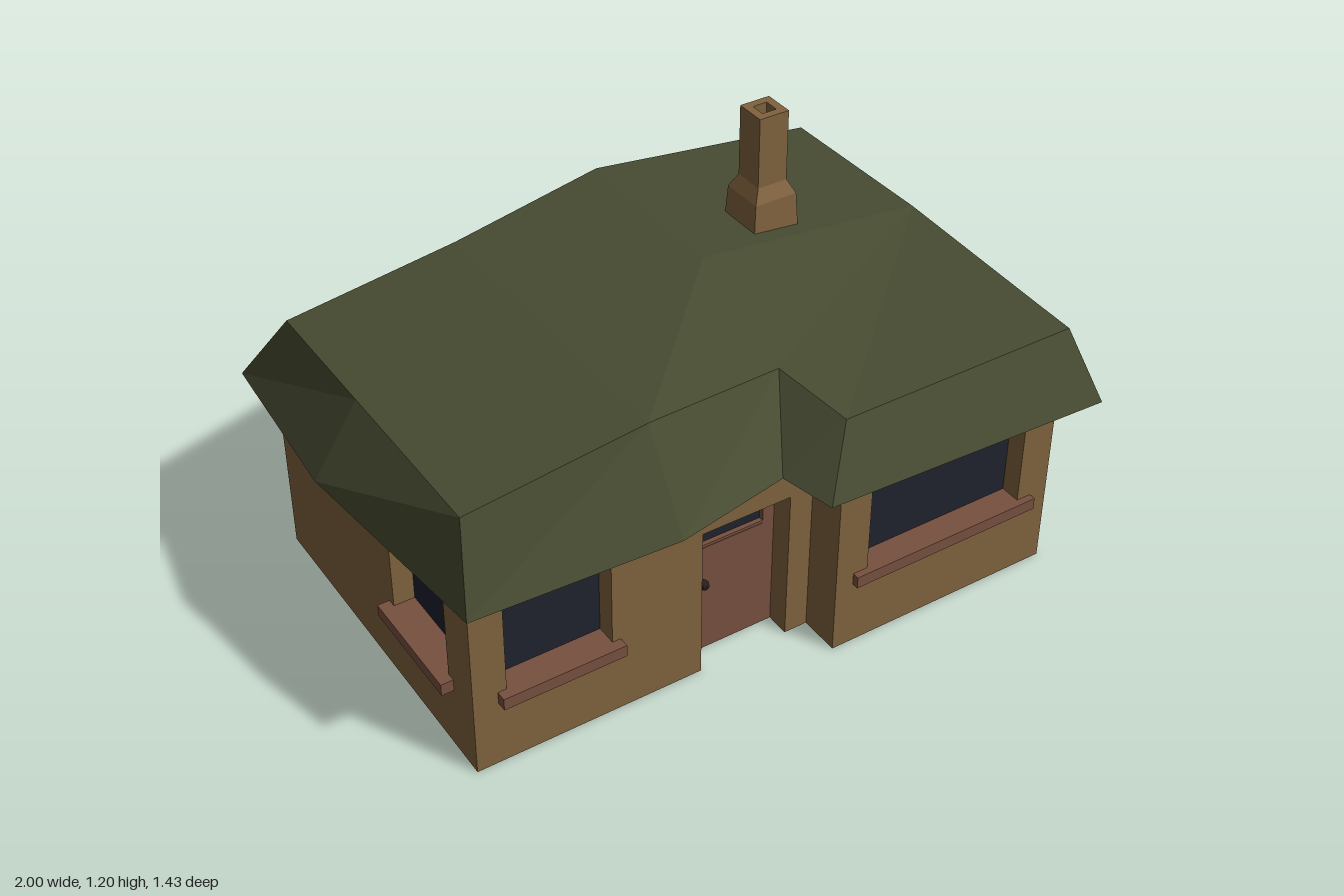
import * as THREE from 'three';

const mat = (color) => new THREE.MeshStandardMaterial({ color, flatShading: true, side: THREE.DoubleSide });
const WALL = mat(0x80623f), ROOF = mat(0x474b31), WOOD = mat(0x77503f), GLASS = mat(0x1f212e), DARK = mat(0x2a2019);
const DEPTH = 0.07; // wall thickness and window reveal

function add(parent, name, geometry, material, x = 0, y = 0, z = 0) {
  const mesh = new THREE.Mesh(geometry, material);
  mesh.name = name;
  mesh.position.set(x, y, z);
  parent.add(mesh);
  return mesh;
}

const polygon = (points) => new THREE.Shape(points.map(([x, y]) => new THREE.Vector2(x, y)));
const rectangle = (a, b, c, d) => polygon([[a, c], [b, c], [b, d], [a, d]]);

// Wall panel facing local +z, with an optional recessed window and sill
function wall(parent, name, outline, turn, x, z, win) {
  const group = new THREE.Group();
  group.name = name;
  group.rotation.y = turn * Math.PI / 2;
  group.position.set(x, 0, z);
  parent.add(group);
  const shape = polygon(outline);
  if (win) {
    const { a, b, y0, y1, overhang, out } = win;
    shape.holes.push(rectangle(a, b, y0, y1));
    add(group, 'windowGlass', new THREE.BoxGeometry(b - a, y1 - y0, 0.01), GLASS, (a + b) / 2, (y0 + y1) / 2, -DEPTH + 0.005);
    add(group, 'windowSill', new THREE.BoxGeometry(b - a + 2 * overhang, 0.036, out + 0.06), WOOD,
      (a + b) / 2, y0 - 0.016, (out - 0.06) / 2);
  }
  add(group, 'wallPanel', new THREE.ExtrudeGeometry(shape, { depth: DEPTH, bevelEnabled: false }), WALL, 0, 0, -DEPTH);
}

// Roof: each station holds eave x,y,z, upper edge x,y,z and wall x,z
function roofGeometry() {
  const stations = [
    [-0.905, 0.575, 0.57, -0.87, 0.83, 0.5, -0.87, 0.5],
    [-0.35, 0.62, 0.64, -0.36, 0.89, 0.5, -0.36, 0.5],
    [-0.01, 0.615, 0.57, 0.09, 0.81, 0.4, 0.14, 0.5],
    [0.04, 0.595, 0.71, 0.14, 0.77, 0.62, 0.14, 0.62],
    [0.92, 0.565, 0.715, 0.86, 0.77, 0.62, 0.85, 0.62],
    [1, 0.59, 0.5, 0.856, 0.778, 0.5, 0.85, 0.5],
    [1, 0.63, -0.02, 0.84, 0.815, -0.02, 0.85, -0.02],
    [0.92, 0.55, -0.65, 0.84, 0.808, -0.55, 0.85, -0.56],
    [0.14, 0.665, -0.72, 0.14, 0.89, -0.56, 0.14, -0.56],
    [-0.37, 0.665, -0.72, -0.37, 0.89, -0.44, -0.37, -0.56],
    [-0.93, 0.55, -0.65, -0.87, 0.83, -0.43, -0.87, -0.56],
    [-1, 0.63, -0.03, -0.87, 0.83, -0.03, -0.87, -0.03],
  ];
  const eave = stations.map((s) => s.slice(0, 3));
  const top = stations.map((s) => s.slice(3, 6));
  const inner = stations.map((s) => [s[6], s[1], s[7]]);
  top.push([0.14, 0.89, -0.02]); // middle of the crown
  const positions = [];
  const tri = (...corners) => corners.forEach((c) => positions.push(...c));
  const quad = (a, b, c, d) => { tri(a, b, c); tri(a, c, d); };
  for (let i = 0; i < 12; i++) {
    const j = (i + 1) % 12;
    quad(eave[i], eave[j], top[j], top[i]);
    quad(inner[i], inner[j], eave[j], eave[i]);
  }
  const crown = [
    [0, 1, 11], [11, 1, 9], [11, 9, 10], [1, 12, 9], [9, 12, 8], [1, 2, 12],
    [2, 6, 12], [2, 3, 6], [3, 4, 5], [3, 5, 6], [6, 7, 12], [7, 8, 12],
  ];
  crown.forEach((f) => tri(...f.map((i) => top[i])));
  const geometry = new THREE.BufferGeometry();
  geometry.setAttribute('position', new THREE.Float32BufferAttribute(positions, 3));
  geometry.computeVertexNormals();
  return geometry;
}

export function createModel() {
  const house = new THREE.Group();
  house.name = 'cottage';

  // Walls, with tops following the eaves
  wall(house, 'frontWall', [[-0.87, 0], [-0.2, 0], [-0.2, 0.47], [0.07, 0.47], [0.07, 0], [0.14, 0],
    [0.14, 0.615], [-0.36, 0.62], [-0.87, 0.575]], 0, 0, 0.5,
  { a: -0.775, b: -0.47, y0: 0.237, y1: 0.507, overhang: 0.025, out: 0.03 });
  wall(house, 'bayFrontWall', [[0.14, 0], [0.85, 0], [0.85, 0.565], [0.14, 0.595]], 0, 0, 0.62,
    { a: 0.24, b: 0.75, y0: 0.237, y1: 0.5, overhang: 0.045, out: 0.02 });
  wall(house, 'baySideWall', [[0.43, 0], [0.62, 0], [0.62, 0.595], [0.5, 0.615], [0.43, 0.615]], -1, 0.14, 0);
  wall(house, 'leftWall', [[-0.62, 0], [0.56, 0], [0.56, 0.55], [0.02, 0.63], [-0.5, 0.59], [-0.62, 0.565]], 1, 0.85, 0,
    { a: -0.405, b: -0.075, y0: 0.237, y1: 0.507, overhang: 0.03, out: 0.022 });
  wall(house, 'backWall', [[-0.85, 0], [0.87, 0], [0.87, 0.55], [0.37, 0.665], [-0.14, 0.665], [-0.85, 0.55]], 2, 0, -0.56,
    { a: -0.06, b: 0.295, y0: 0.258, y1: 0.54, overhang: 0.03, out: 0.032 });
  wall(house, 'rightWall', [[-0.56, 0], [0.5, 0], [0.5, 0.575], [-0.03, 0.63], [-0.56, 0.55]], -1, -0.87, 0,
    { a: 0.08, b: 0.375, y0: 0.235, y1: 0.5, overhang: 0.025, out: 0.035 });

  // Floor, notched at the doorway
  const floor = polygon([[-0.87, -0.5], [-0.2, -0.5], [-0.2, -0.43], [0.07, -0.43], [0.07, -0.5], [0.14, -0.5],
    [0.14, -0.62], [0.85, -0.62], [0.85, 0.56], [-0.87, 0.56]]);
  add(house, 'floor', new THREE.ShapeGeometry(floor), WALL).rotation.x = -Math.PI / 2;

  // Door with a small framed light and knob
  const door = new THREE.Group();
  door.name = 'door';
  house.add(door);
  const panel = rectangle(-0.2, 0.07, 0, 0.47);
  panel.holes.push(rectangle(-0.165, 0.035, 0.35, 0.445));
  add(door, 'doorPanel', new THREE.ExtrudeGeometry(panel, { depth: 0.03, bevelEnabled: false }), WOOD, 0, 0, 0.4);
  add(door, 'doorGlass', new THREE.BoxGeometry(0.2, 0.095, 0.01), GLASS, -0.065, 0.3975, 0.41);
  for (const y of [0.353, 0.442]) add(door, 'glassBead', new THREE.BoxGeometry(0.2, 0.01, 0.015), WOOD, -0.065, y, 0.421);
  add(door, 'doorKnob', new THREE.SphereGeometry(0.015, 8, 6), DARK, -0.155, 0.235, 0.442);

  add(house, 'roof', roofGeometry(), ROOF);

  // Square chimney with a hollow flue
  const profile = [[0.072, 0.84], [0.066, 0.95], [0.046, 0.99], [0.046, 1.2], [0.022, 1.2], [0.022, 1.13], [0, 1.13]]
    .map(([half, y]) => new THREE.Vector2(half * Math.SQRT2, y));
  add(house, 'chimney', new THREE.LatheGeometry(profile, 4), WALL, 0.41, 0, -0.14).rotation.y = Math.PI / 4;

  return house;
}
